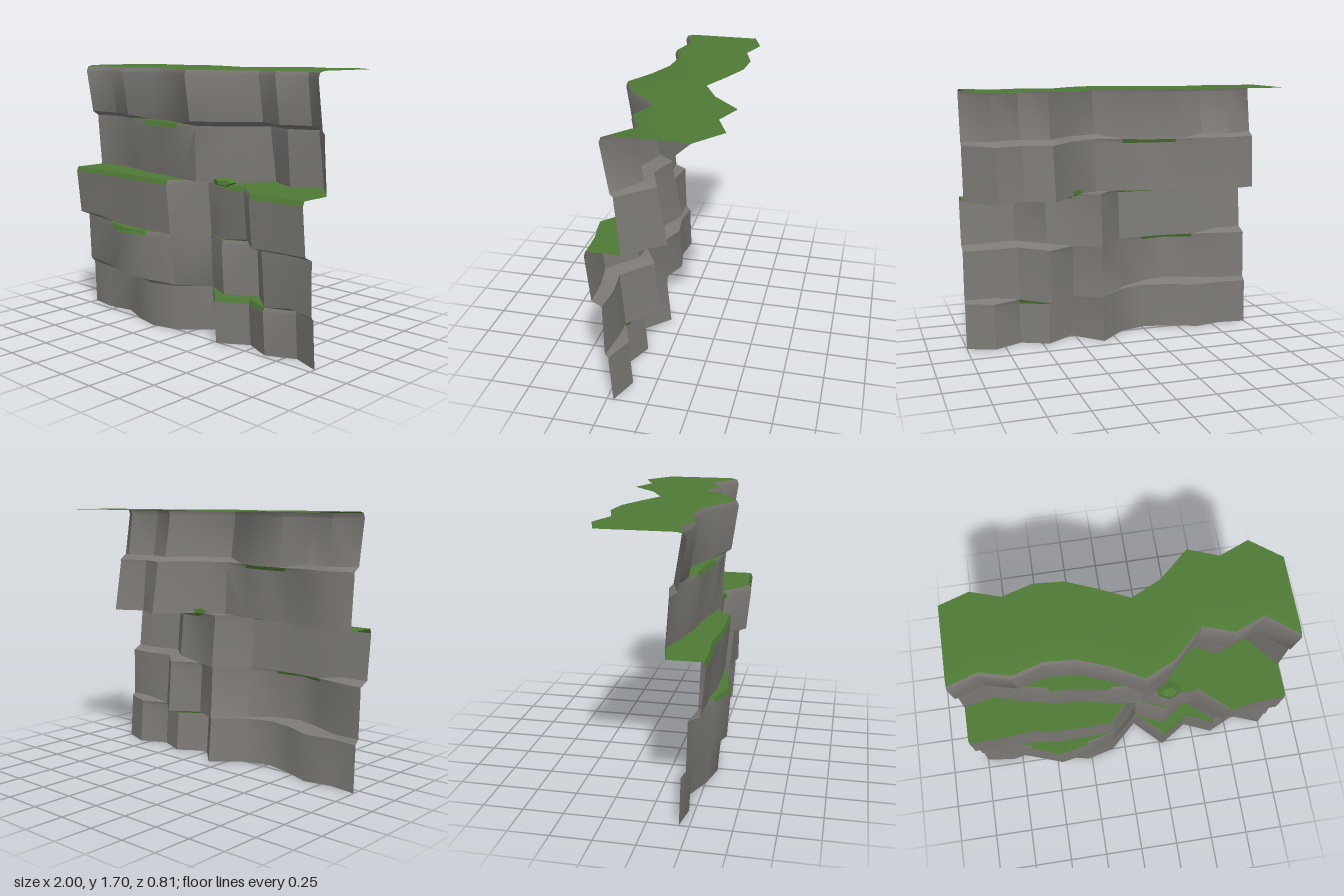
import * as THREE from 'three';
import { toCreasedNormals } from 'three/addons/utils/BufferGeometryUtils.js';

const rock = new THREE.MeshStandardMaterial({ color: 0x7d7a76, side: THREE.DoubleSide });
const grass = new THREE.MeshStandardMaterial({ color: 0x4f7a36, side: THREE.DoubleSide });
const COLS = 12;
const BEVEL = 0.03;

// Rock bands from the ground up: depth of the brow and of the foot at each column, from -x to +x
const bands = [
  { name: 'baseBand', y0: 0, y1: 0.3,
    brow: [0.2, 0.225, 0.2, 0.275, 0.32, 0.265, 0.105, 0.285, 0.165, 0.245, 0.16, 0.23],
    foot: [0.19, 0.215, 0.18, 0.255, 0.297, 0.25, 0.08, 0.265, 0.145, 0.225, 0.14, 0.21] },
  { name: 'lowerBand', y0: 0.3, y1: 0.65,
    brow: [0.24, 0.27, 0.335, 0.4, 0.365, 0.31, 0.12, 0.215, 0.09, 0.26, 0.24, 0.255],
    foot: [0.23, 0.25, 0.315, 0.38, 0.345, 0.275, 0.105, 0.195, 0.068, 0.232, 0.22, 0.25] },
  { name: 'middleBand', y0: 0.65, y1: 1,
    brow: [0.34, 0.34, 0.325, 0.345, 0.35, 0.34, 0.145, 0.21, 0.22, 0.38, 0.35, 0.345],
    foot: [0.31, 0.31, 0.3, 0.32, 0.32, 0.31, 0.115, 0.19, 0.19, 0.35, 0.32, 0.315] },
  { name: 'upperBand', y0: 1, y1: 1.35, flatFoot: true,
    brow: [0.14, 0.1, 0.15, 0.2, 0.215, 0.25, 0.265, 0.175, -0.03, 0.035, -0.035, 0.16],
    foot: [0.115, 0.075, 0.125, 0.17, 0.185, 0.225, 0.255, 0.15, -0.085, 0.005, -0.09, 0.13] },
  { name: 'crownBand', y0: 1.35, y1: 1.69,
    brow: [0.232, 0.172, 0.222, 0.167, 0.182, 0.252, 0.352, 0.267, 0.092, 0.157, 0.082, 0.227],
    foot: [0.185, 0.125, 0.175, 0.122, 0.135, 0.205, 0.31, 0.22, 0.045, 0.11, 0.04, 0.18] },
];
const plateauBack = [-0.27, -0.33, -0.27, -0.325, -0.31, -0.235, -0.15, -0.24, -0.405, -0.335, -0.41, -0.27];

// Line of points across the cliff; y and z are functions of the column
const row = (y, z) => Array.from({ length: COLS }, (_, i) =>
  new THREE.Vector3(-1 + (2 * i) / (COLS - 1), y(i), z(i)));
const level = (y) => () => y;

// Adds the quads between two rows; choose() picks the list for each piece
function strip(a, b, steps, choose) {
  const at = (r, i, t) => r[i].clone().lerp(r[i + 1], t);
  for (let i = 0; i < COLS - 1; i++) {
    for (let s = 0; s < steps; s++) {
      const [t0, t1] = [s / steps, (s + 1) / steps];
      const [p, q, u, v] = [at(a, i, t0), at(a, i, t1), at(b, i, t0), at(b, i, t1)];
      const out = choose(p, q, u, v, i);
      for (const c of [p, q, v, p, v, u]) out.push(c.x, c.y, c.z);
    }
  }
}

function sheet(name, points, material, crease) {
  const g = new THREE.BufferGeometry();
  g.setAttribute('position', new THREE.Float32BufferAttribute(points, 3));
  const mesh = new THREE.Mesh(toCreasedNormals(g, crease), material);
  mesh.name = name;
  return mesh;
}

export function createModel() {
  const group = new THREE.Group();
  group.name = 'cliff';
  const ledges = [];
  let below = null; // top row of the band underneath

  bands.forEach((band, n) => {
    const stone = [];
    const next = bands[n + 1];
    const step = band.brow.map((z, i) => z - (next ? next.foot : plateauBack)[i]);
    const overhang = (i) => (below && !band.flatFoot ? Math.max(0, band.foot[i] - below[i].z) : 0);

    const bottom = row(level(band.y0), (i) => band.foot[i] - overhang(i));
    const foot = row((i) => band.y0 + Math.min(BEVEL, overhang(i)), (i) => band.foot[i]);
    const brow = row(level(band.y1 - BEVEL), (i) => band.brow[i]);
    const top = row(level(band.y1), (i) => band.brow[i] - (step[i] > 0.01 ? 0.012 : 0));

    // Ledge from the band below: grass on top, stone underneath overhangs
    if (below) {
      strip(below, bottom, 6, (p, q, u, v) => (p.z + q.z > u.z + v.z - 1e-6 ? ledges : stone));
    }

    // Undercut and face
    if (below && !band.flatFoot) strip(bottom, foot, 1, () => stone);
    strip(foot, brow, 1, () => stone);

    // Rounded brow, grassed along gentle stretches of ledge
    strip(brow, top, 1, (p, q, u, v, i) => {
      const [lo, hi] = [Math.min(step[i], step[i + 1]), Math.max(step[i], step[i + 1])];
      return next && lo > 0.01 && hi > 0.05 && Math.abs(p.z - q.z) < 0.13 ? ledges : stone;
    });
    group.add(sheet(band.name, stone, rock, 0.62));
    below = top;
  });
  group.add(sheet('grassLedges', ledges, grass, 0.9));

  // Grassy plateau with a thin rounded lip
  const plateau = [];
  const lip = row(level(1.7), (i) => below[i].z - 0.04);
  strip(below, lip, 1, () => plateau);
  strip(lip, row(level(1.7), (i) => plateauBack[i]), 1, () => plateau);
  group.add(sheet('plateau', plateau, grass, 0.6));

  // Small mossy stone on the middle ledge
  const stoneGeo = new THREE.DodecahedronGeometry(1, 0);
  stoneGeo.scale(0.08, 0.03, 0.062);
  const pebble = new THREE.Mesh(stoneGeo, grass.clone());
  pebble.material.flatShading = true;
  pebble.name = 'mossyStone';
  pebble.position.set(0.28, 1.015, 0.2);
  group.add(pebble);

  return group;
}
